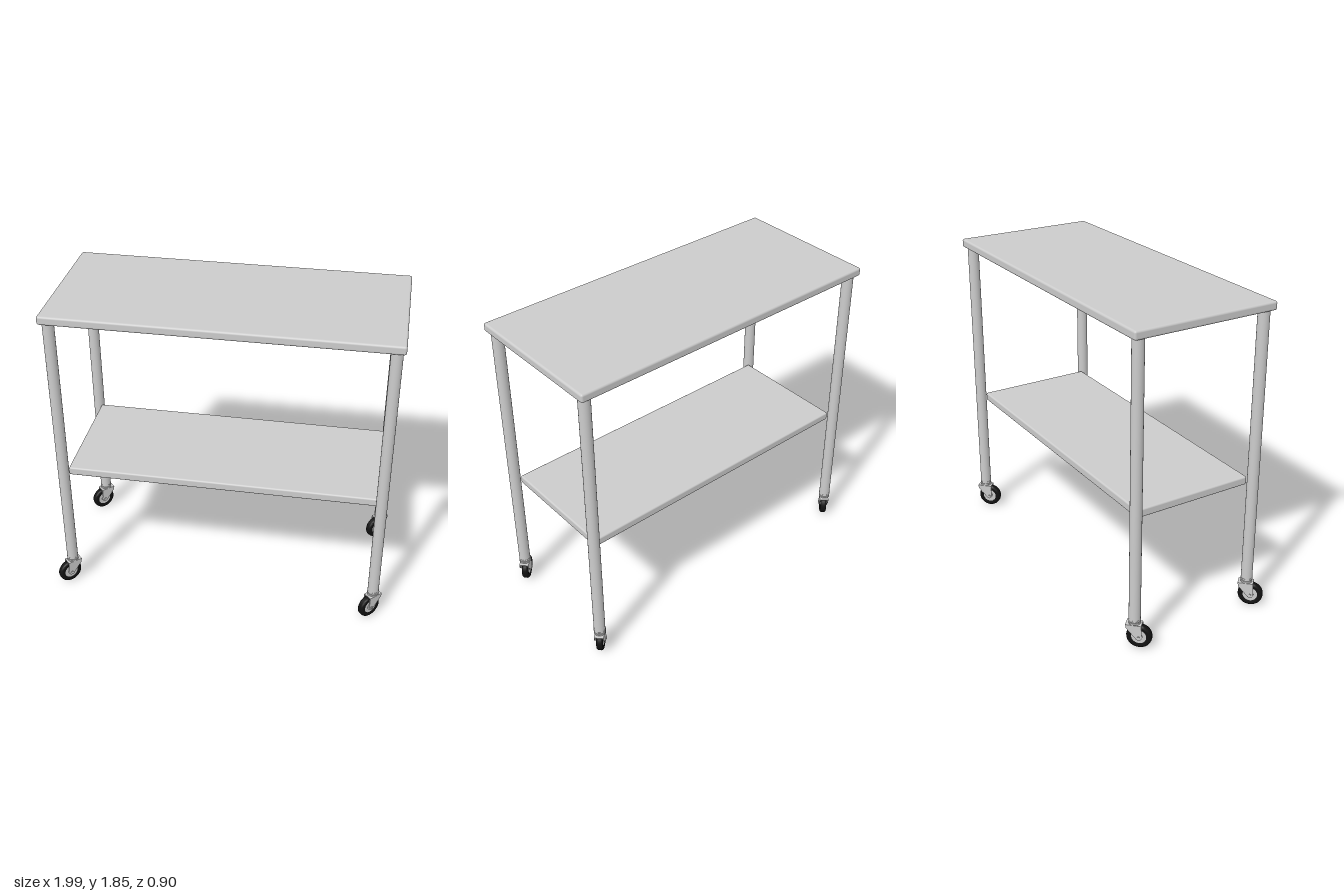
import * as THREE from 'three';
import { RoundedBoxGeometry } from 'three/addons/geometries/RoundedBoxGeometry.js';
import { toCreasedNormals } from 'three/addons/utils/BufferGeometryUtils.js';

const grey = new THREE.MeshStandardMaterial({ color: 0xcccccc });
const black = new THREE.MeshStandardMaterial({ color: 0x111111 });

function add(parent, name, geometry, x, y, z, material = grey) {
  const mesh = new THREE.Mesh(geometry, material);
  mesh.name = name;
  mesh.position.set(x, y, z);
  parent.add(mesh);
  return mesh;
}

const WHEEL_R = 0.072, TRAIL = 0.027;

// Swivel caster: local +x is the rolling direction, local z the axle
function createCaster() {
  const caster = new THREE.Group();
  caster.name = 'caster';

  // Tyre with rounded shoulders
  const profile = [
    [0.042, -0.017], [0.056, -0.02], [0.065, -0.019], [0.07, -0.014], [WHEEL_R, -0.006],
    [WHEEL_R, 0.006], [0.07, 0.014], [0.065, 0.019], [0.056, 0.02], [0.042, 0.017],
  ].map(([r, y]) => new THREE.Vector2(r, y));
  const tyre = toCreasedNormals(new THREE.LatheGeometry(profile, 40), 0.7);
  add(caster, 'tyre', tyre.rotateX(Math.PI / 2), TRAIL, WHEEL_R, 0, black);

  // Hub and axle bolt
  const disc = (r, length) => new THREE.CylinderGeometry(r, r, length, 28).rotateX(Math.PI / 2);
  add(caster, 'hub', disc(0.044, 0.032), TRAIL, WHEEL_R, 0);
  add(caster, 'hubBoss', disc(0.02, 0.044), TRAIL, WHEEL_R, 0);
  add(caster, 'axle', disc(0.008, 0.066), TRAIL, WHEEL_R, 0);

  // Fork cheeks taper from the crown plate down to the axle
  const cheek = new THREE.Shape();
  cheek.moveTo(-0.047, 0.147);
  cheek.lineTo(-0.043, 0.125);
  cheek.lineTo(TRAIL - 0.015, WHEEL_R - 0.01);
  cheek.absarc(TRAIL, WHEEL_R, 0.018, Math.PI * 1.2, Math.PI * 2, false);
  cheek.lineTo(0.042, 0.147);
  cheek.closePath();
  const cheekGeometry = new THREE.ExtrudeGeometry(cheek, { depth: 0.005, bevelEnabled: false, curveSegments: 10 });
  for (const z of [0.023, -0.028]) add(caster, 'forkCheek', cheekGeometry, 0, 0, z);
  add(caster, 'forkCrown', new THREE.BoxGeometry(0.089, 0.004, 0.056), -0.0025, 0.146, 0);

  // Stacked swivel bearing rings below the leg
  const rings = [[0.026, 0.147, 0.155], [0.034, 0.153, 0.163], [0.028, 0.163, 0.169], [0.034, 0.169, 0.18]];
  for (const [r, y0, y1] of rings) {
    add(caster, 'swivelRing', new THREE.CylinderGeometry(r, r, y1 - y0, 32), 0, (y0 + y1) / 2, 0);
  }

  caster.rotation.y = -Math.PI * 0.75;
  return caster;
}

export function createModel() {
  const model = new THREE.Group();
  model.name = 'utilityCart';

  const cx = 0.012, cz = -0.014;        // centre of the frame
  const legX = 0.93, legZ = 0.385;      // leg offsets from that centre
  const inset = 0.024;                  // shelf corners meet the legs

  add(model, 'tableTop', new RoundedBoxGeometry(1.955, 0.05, 0.87, 4, 0.012), cx, 1.826, cz);
  add(model, 'lowerShelf',
    new RoundedBoxGeometry(2 * (legX - inset), 0.05, 2 * (legZ - inset), 4, 0.01), cx, 0.804, cz);

  // Four tubular legs, each on a caster turned the same way
  const legGeometry = new THREE.CylinderGeometry(0.033, 0.033, 1.63, 32);
  for (const sx of [-1, 1]) {
    for (const sz of [-1, 1]) {
      const x = cx + sx * legX, z = cz + sz * legZ;
      add(model, 'leg', legGeometry, x, 0.995, z);
      const caster = createCaster();
      caster.position.set(x, 0, z);
      model.add(caster);
    }
  }
  return model;
}
